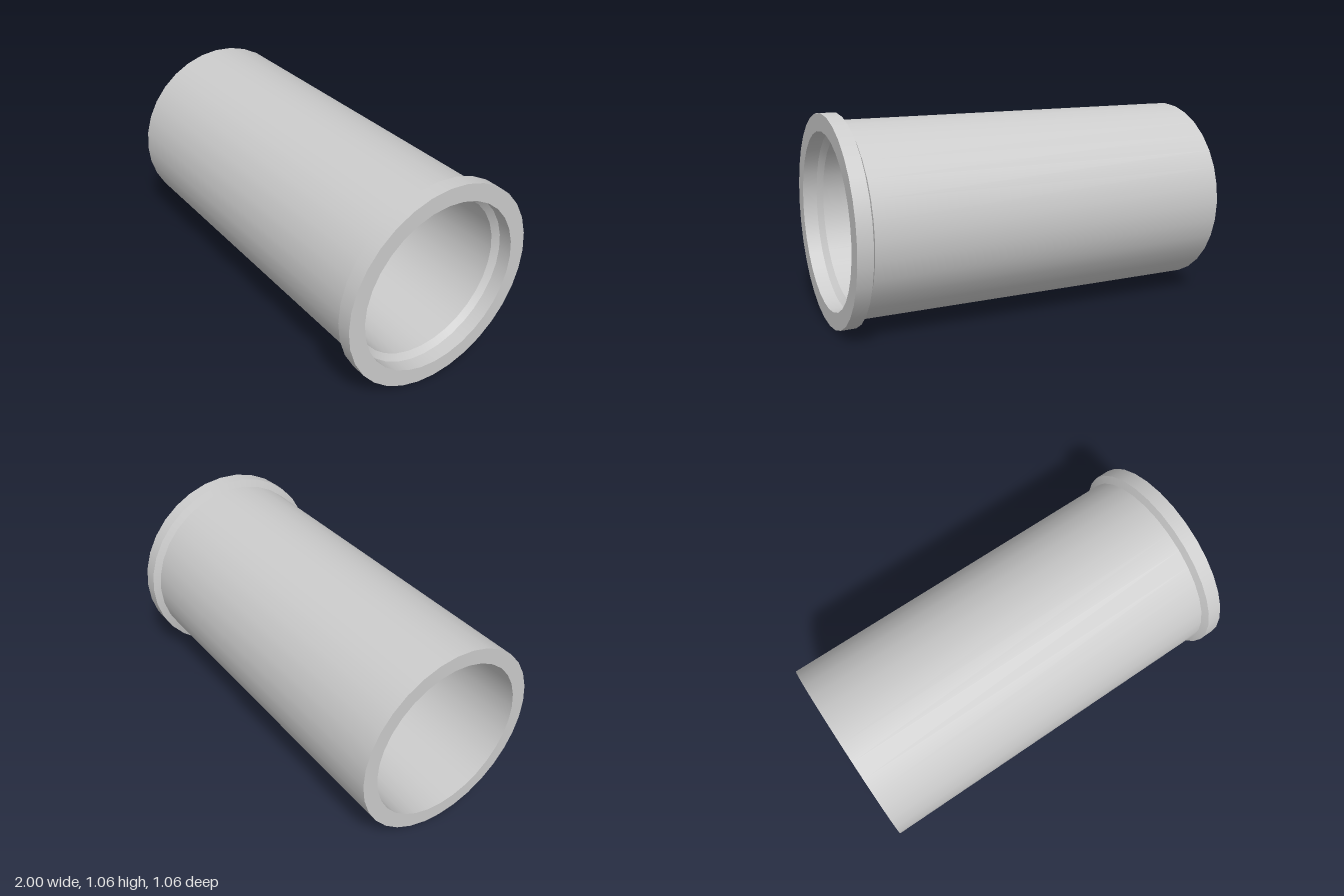
import * as THREE from 'three';
import { mergeGeometries } from 'three/addons/utils/BufferGeometryUtils.js';

const SIDES = 32;
const CENTER_Y = 0.53;

// Each profile step is its own lathe band: smooth around, sharp between bands.
// Profile points are [radius, position along the axis].
function turned(name, profile, material) {
  const bands = [];
  for (let i = 0; i < profile.length - 1; i++) {
    const ends = [profile[i], profile[i + 1]].map(([r, a]) => new THREE.Vector2(r, a));
    bands.push(new THREE.LatheGeometry(ends, SIDES));
  }
  const geometry = mergeGeometries(bands);
  geometry.rotateZ(-Math.PI / 2); // axis along +x
  geometry.translate(0, CENTER_Y, 0);
  const mesh = new THREE.Mesh(geometry, material);
  mesh.name = name;
  return mesh;
}

export function createModel() {
  const group = new THREE.Group();
  group.name = 'flangedSleeve';
  const grey = new THREE.MeshStandardMaterial({ color: 0xcccccc });

  const bore = 0.415, body = 0.492, rim = 0.53, recess = 0.443;

  // Straight tube: bore wall, plain end face and outer wall
  group.add(turned('tube', [[bore, 0.9], [bore, -1], [body, -1], [body, 0.907]], grey));

  // Flange: chamfered back, rim, end face, recess and its tapered seat
  group.add(turned('flange', [
    [body, 0.907], [rim, 0.924], [rim, 1], [recess, 1], [recess, 0.928], [bore, 0.9],
  ], grey));

  return group;
}
